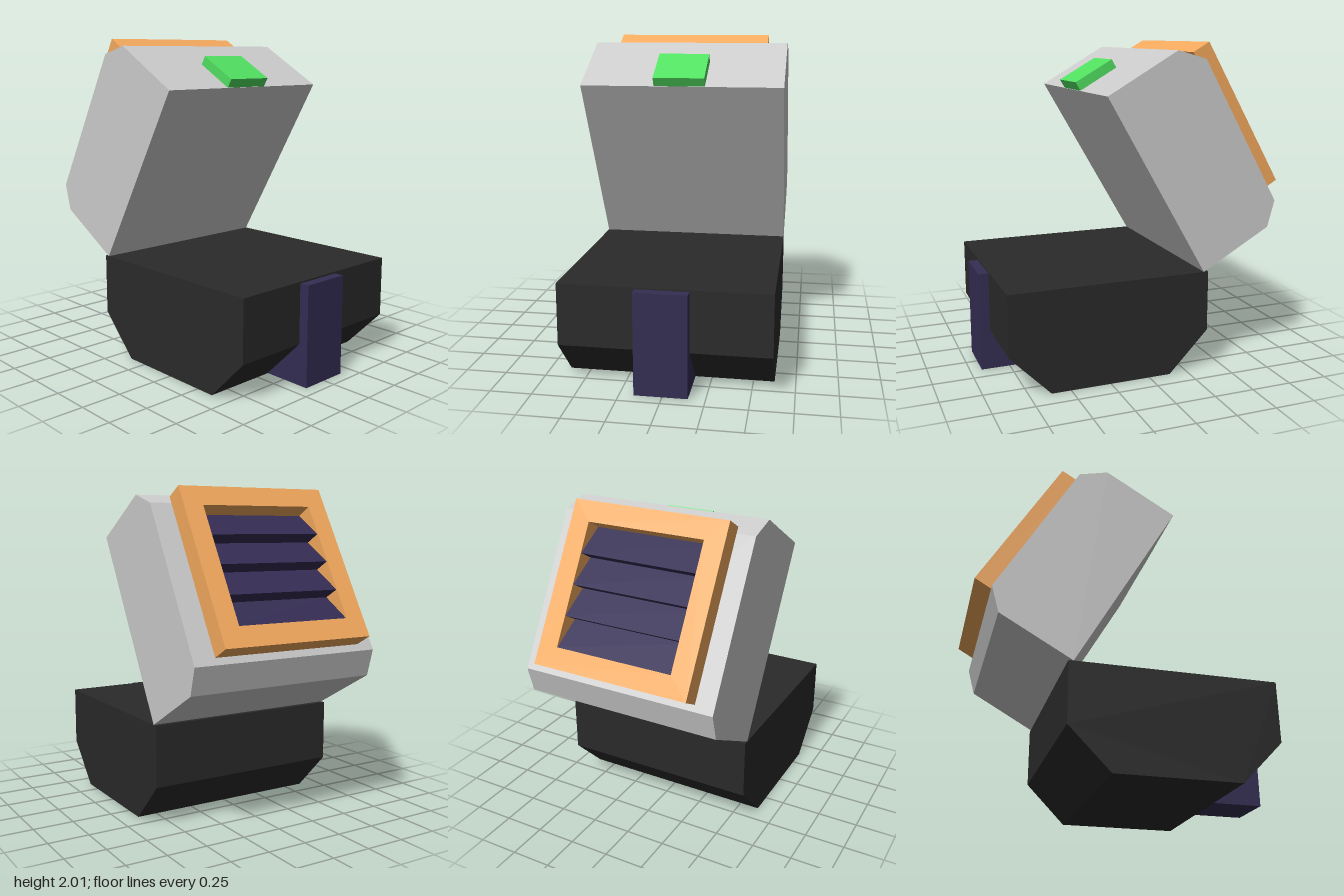
import * as THREE from 'three';

const material = (color) => new THREE.MeshStandardMaterial({ color, flatShading: true });
const grey = material(0xcccccc);
const black = material(0x2a2a2a);
const orange = material(0xf4aa5e);
const green = material(0x51e161);
const purple = material(0x342d53);

// Side profile of [z, y] points, extruded across x from x0 to x1
function prism(name, profile, x0, x1, mat) {
  const shape = new THREE.Shape(profile.map(([z, y]) => new THREE.Vector2(z, y)));
  const geometry = new THREE.ExtrudeGeometry(shape, { depth: x1 - x0, bevelEnabled: false });
  geometry.rotateY(-Math.PI / 2).translate(x1, 0, 0);
  const mesh = new THREE.Mesh(geometry, mat);
  mesh.name = name;
  return mesh;
}

function rectangle(path, half) {
  path.moveTo(-half, -half);
  path.lineTo(half, -half);
  path.lineTo(half, half);
  path.lineTo(-half, half);
  path.closePath();
  return path;
}

// Square frame filled with overlapping slats; built facing +z
function ventPanel() {
  const panel = new THREE.Group();
  panel.name = 'ventPanel';
  const depth = 0.12, half = 0.5, hole = 0.375;

  const outline = rectangle(new THREE.Shape(), half);
  outline.holes.push(rectangle(new THREE.Path(), hole));
  const frame = new THREE.Mesh(new THREE.ExtrudeGeometry(outline, { depth, bevelEnabled: false }), orange);
  frame.name = 'ventFrame';
  panel.add(frame);

  // Each slat is deep at its top edge and stands proud at its bottom edge
  const count = 4, pitch = 2 * hole / count;
  for (let i = 0; i < count; i++) {
    const y = -hole + i * pitch;
    const profile = [[0, y], [depth - 0.004, y], [0.012, y + pitch], [0, y + pitch]];
    panel.add(prism('ventSlat', profile, -hole, hole, purple));
  }
  return panel;
}

export function createModel() {
  const model = new THREE.Group();
  model.name = 'hingedCase';

  // Lower half with chamfered bottom edges
  model.add(prism('base', [
    [0.87, 0.63], [-0.385, 0.63], [-0.385, 0.255], [-0.135, 0], [0.62, 0], [0.87, 0.255],
  ], -0.625, 0.625, black));

  // Front clasp, running down past the chamfer
  model.add(prism('clasp', [[0.62, 0.003], [0.93, 0.003], [0.93, 0.62], [0.62, 0.62]], -0.165, 0.15, purple));

  // Upper half, swung open on the rear top edge of the base
  model.add(prism('lid', [
    [-0.355, 0.63], [0.27, 1.71], [-0.16, 1.96], [-0.34, 1.91], [-0.835, 1.04], [-0.79, 0.875],
  ], -0.625, 0.625, grey));

  // Button on the lid's front edge
  model.add(prism('button', [[0.298, 1.763], [0.267, 1.71], [0.032, 1.845], [0.063, 1.898]], -0.165, 0.15, green));

  // Vent on the outer face of the lid
  const vent = ventPanel();
  vent.position.set(-0.01, 1.5125, -0.573);
  vent.rotation.set(Math.PI / 6, Math.PI, 0);
  model.add(vent);

  return model;
}
